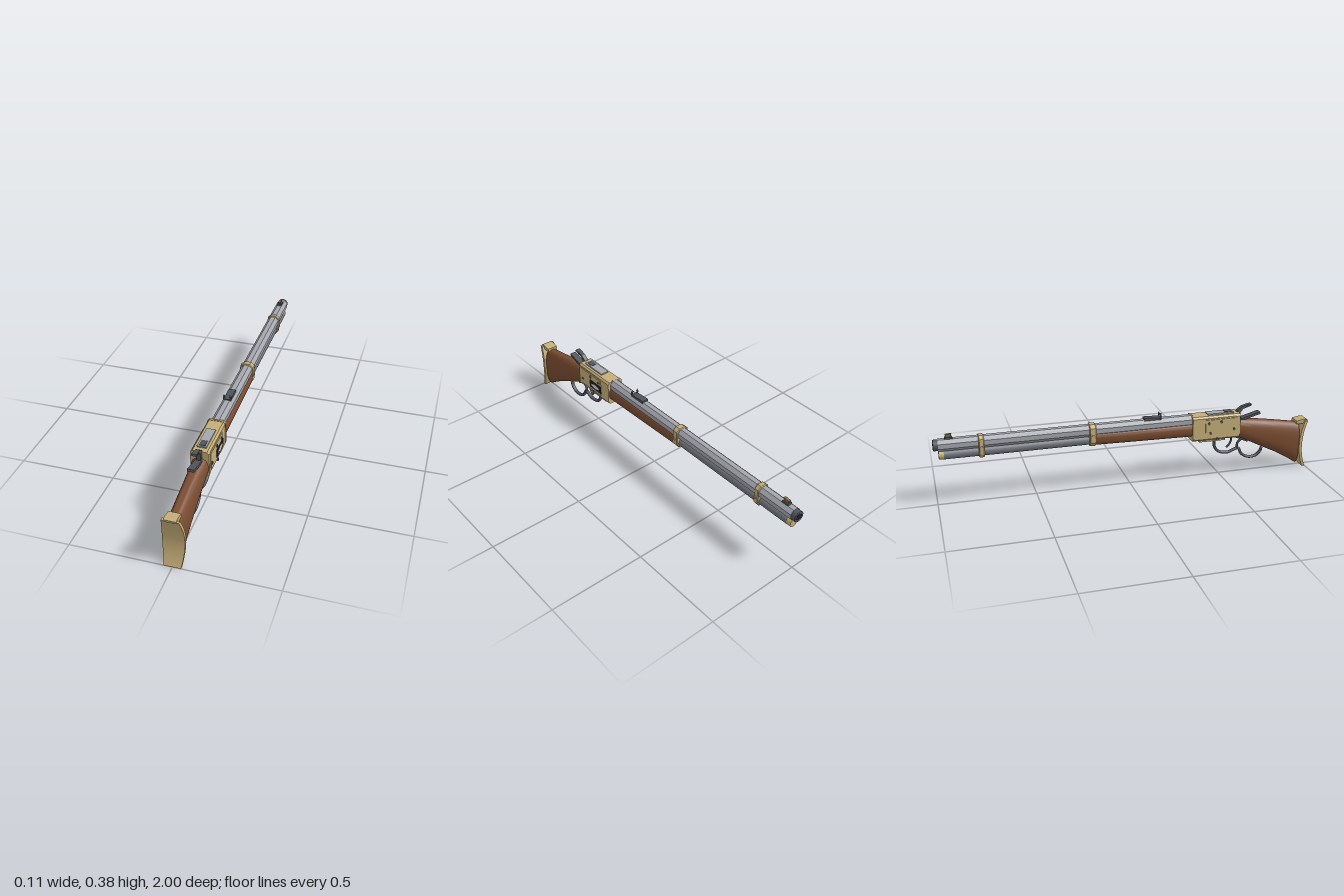
import * as THREE from 'three';
import { toCreasedNormals } from 'three/addons/utils/BufferGeometryUtils.js';

const mat = (name, color) => {
  const m = new THREE.MeshStandardMaterial({ color });
  m.name = name;
  return m;
};

export function createModel() {
  const brass = mat('brass', 0xc6ae78), wood = mat('walnut', 0x7b4d31);
  const steel = mat('barrelSteel', 0xa4a7ae), tubeSteel = mat('tubeSteel', 0x72757d);
  const dark = mat('darkSteel', 0x50545c), black = mat('black', 0x202226);
  const bronze = mat('bronze', 0x84704a), silver = mat('silver', 0xd4d6da);

  const model = new THREE.Group();
  model.name = 'leverRifle';
  const add = (name, geo, material, x = 0, y = 0, z = 0) => {
    const mesh = new THREE.Mesh(geo, material);
    mesh.name = name;
    mesh.position.set(x, y, z);
    model.add(mesh);
    return mesh;
  };
  const box = (name, m, w, h, d, x, y, z) => add(name, new THREE.BoxGeometry(w, h, d), m, x, y, z);
  // Cylinder along z
  const rod = (name, m, r, z0, z1, y, sides = 32, r1 = r) => {
    const g = new THREE.CylinderGeometry(r1, r, z1 - z0, sides);
    if (sides === 8) g.rotateY(Math.PI / 8);
    g.rotateX(Math.PI / 2);
    return add(name, sides === 8 ? toCreasedNormals(g, 0.3) : g, m, 0, y, (z0 + z1) / 2);
  };
  // Cylinder along x
  const pin = (name, m, r, len, x, y, z) =>
    add(name, new THREE.CylinderGeometry(r, r, len, 16).rotateZ(Math.PI / 2), m, x, y, z);
  const shapeOf = (pts) => new THREE.Shape(pts.map(([a, b]) => new THREE.Vector2(a, b)));
  // Symmetric x,y outline (right half, top to bottom) extruded along z
  const slice = (name, m, half, z0, z1, bevel = 0) => {
    const pts = [...half, ...half.map(([x, y]) => [-x, y]).reverse()];
    const g = new THREE.ExtrudeGeometry(shapeOf(pts), {
      depth: z1 - z0 - 2 * bevel, bevelEnabled: bevel > 0, bevelSize: bevel,
      bevelThickness: bevel, bevelOffset: -bevel, bevelSegments: 1,
    });
    return add(name, g, m, 0, 0, z0 + bevel);
  };
  // Side profile of z,y points extruded along x
  const profile = (name, m, pts, width) => {
    const g = new THREE.ExtrudeGeometry(shapeOf(pts), { depth: width, bevelEnabled: false });
    return add(name, g.rotateY(-Math.PI / 2).translate(width / 2, 0, 0), m);
  };
  // Curved rod through z,y points, widened along x
  const bar = (name, m, pts, r, widen = 1.4) => {
    const curve = new THREE.CatmullRomCurve3(pts.map(([z, y]) => new THREE.Vector3(0, y, z)));
    const mesh = add(name, new THREE.TubeGeometry(curve, 64, r, 10), m);
    mesh.scale.x = widen;
    [pts[0], pts[pts.length - 1]].forEach(([z, y]) =>
      add(name + 'End', new THREE.SphereGeometry(r, 10, 8), m, 0, y, z).scale.set(widen, 1, 1));
  };
  // Closed skin over a list of equal loops, capped at both ends
  const loft = (loops, crease) => {
    const n = loops[0].length, pos = loops.flat(2), idx = [];
    const at = (i, j) => i * n + (j % n);
    for (let i = 0; i < loops.length - 1; i++)
      for (let j = 0; j < n; j++)
        idx.push(at(i, j), at(i, j + 1), at(i + 1, j + 1), at(i, j), at(i + 1, j + 1), at(i + 1, j));
    const last = loops.length - 1;
    for (let j = 1; j < n - 1; j++)
      idx.push(0, j + 1, j, at(last, 0), at(last, j), at(last, j + 1));
    const g = new THREE.BufferGeometry();
    g.setAttribute('position', new THREE.Float32BufferAttribute(pos, 3));
    g.setIndex(idx);
    return toCreasedNormals(g, crease);
  };
  // Oval sections given as z, top, bottom, half width
  const ovals = (rows, power) => loft(rows.map(([z, top, bottom, w]) =>
    Array.from({ length: 36 }, (_, k) => {
      const a = (k / 36) * Math.PI * 2, c = Math.cos(a), s = Math.sin(a);
      return [w * Math.sign(c) * Math.abs(c) ** power,
        (top + bottom) / 2 + ((top - bottom) / 2) * Math.sign(s) * Math.abs(s) ** power, z];
    })), 0.8);

  // Stock and fore-end
  add('stock', ovals([
    [0.585, 0.312, 0.214, 0.042], [0.62, 0.307, 0.197, 0.042], [0.68, 0.299, 0.166, 0.041],
    [0.76, 0.287, 0.126, 0.041], [0.84, 0.274, 0.086, 0.042], [0.91, 0.262, 0.044, 0.043],
    [0.955, 0.254, 0.014, 0.043],
  ], 0.85), wood);
  add('foreEnd', ovals([
    [-0.2, 0.315, 0.243, 0.035], [0.1, 0.315, 0.238, 0.038], [0.34, 0.315, 0.234, 0.04],
  ], 0.8), wood);

  // Crescent butt plate with its top tab
  add('buttPlate', loft(Array.from({ length: 21 }, (_, i) => {
    const t = i / 20, y = 0.002 + 0.266 * t, w = 0.041 + 0.012 * Math.sin(Math.PI * t);
    const zo = 0.968 + 0.032 * (2 * t - 1) ** 2, zi = zo - 0.016;
    return [[-w, y, zo], [w, y, zo], [w, y, zi], [-w, y, zi]];
  }), 0.6), brass);
  profile('buttPlateTab', brass,
    [[1, 0.262], [1, 0.272], [0.985, 0.276], [0.937, 0.268], [0.937, 0.25], [0.975, 0.25]], 0.06);

  // Barrel, muzzle and magazine tube
  rod('barrel', steel, 0.0325, -0.975, 0.34, 0.322, 8, 0.0335);
  rod('muzzle', dark, 0.0285, -0.998, -0.965, 0.322);
  add('muzzleRing', new THREE.TorusGeometry(0.022, 0.006, 12, 32), dark, 0, 0.322, -0.994);
  rod('bore', black, 0.016, -0.999, -0.99, 0.322);
  rod('magazineTube', tubeSteel, 0.0245, -0.95, -0.19, 0.27);
  rod('magazineCap', brass, 0.0235, -0.975, -0.945, 0.27);

  // Barrel bands with cross screws
  const band = [[0.016, 0.357], [0.034, 0.341], [0.036, 0.3], [0.034, 0.262], [0.018, 0.241]];
  [[-0.22, -0.185, 1.04], [-0.78, -0.752, 0.96]].forEach(([z0, z1, s]) => {
    slice('barrelBand', brass, band.map(([x, y]) => [x * s, y]), z0, z1, 0.004);
    pin('bandScrew', brass, 0.008, 0.08 * s, 0, 0.298, (z0 + z1) / 2);
  });

  // Receiver, side plates and lower link housing
  slice('receiver', brass, [[0.035, 0.348], [0.044, 0.338], [0.044, 0.222], [0.036, 0.214]], 0.335, 0.598);
  slice('receiverFrontRim', brass, [[0.036, 0.35], [0.046, 0.339], [0.046, 0.226], [0.037, 0.215]], 0.332, 0.346);
  slice('receiverRearRim', brass, [[0.036, 0.345], [0.046, 0.336], [0.046, 0.222], [0.036, 0.213]], 0.578, 0.598);
  box('linkHousing', brass, 0.064, 0.03, 0.145, 0, 0.218, 0.448);
  pin('linkPin', dark, 0.008, 0.1, 0, 0.219, 0.47);
  for (const side of [1, -1]) {
    box('sidePlate', brass, 0.006, 0.095, 0.175, side * 0.046, 0.283, 0.49);
    [[0.563, 0.268], [0.49, 0.314], [0.42, 0.31]].forEach(([z, y]) =>
      pin('plateScrew', dark, 0.0075, 0.006, side * 0.0495, y, z));
  }
  pin('plateScrew', dark, 0.0075, 0.006, -0.0495, 0.255, 0.43);

  // Loading gate on the left side
  box('gateRecess', black, 0.004, 0.045, 0.1, 0.049, 0.272, 0.447);
  [[0.447, 0.012, 2], [0.425, 0.008, 1.6], [0.469, 0.008, 1.6]].forEach(([z, r, stretch]) => {
    pin('loadingGate', silver, r, 0.003, 0.0507, 0.271, z).scale.z = stretch;
  });

  // Bolt cover, hammer and rear tang
  box('bolt', steel, 0.046, 0.014, 0.145, 0, 0.348, 0.495);
  box('boltInset', dark, 0.03, 0.006, 0.04, 0, 0.354, 0.54);
  profile('hammer', dark, [[0.57, 0.30], [0.615, 0.30], [0.612, 0.345], [0.628, 0.362], [0.652, 0.369],
    [0.674, 0.376], [0.67, 0.386], [0.645, 0.382], [0.618, 0.374], [0.597, 0.358], [0.585, 0.34]], 0.022);
  box('hammerSpur', dark, 0.028, 0.007, 0.03, 0, 0.379, 0.658).rotation.x = -0.25;
  profile('tangSight', dark, [[0.6, 0.292], [0.725, 0.326], [0.722, 0.338], [0.6, 0.305]], 0.034);

  // Finger lever, trigger and lower tang
  bar('lever', dark, [[0.475, 0.215], [0.472, 0.165], [0.495, 0.13], [0.55, 0.117], [0.592, 0.132],
    [0.612, 0.135], [0.632, 0.1], [0.67, 0.078], [0.715, 0.08], [0.745, 0.108], [0.748, 0.122]], 0.0075);
  bar('leverLink', dark, [[0.604, 0.138], [0.607, 0.165], [0.63, 0.186], [0.66, 0.183]], 0.006);
  bar('trigger', dark, [[0.565, 0.215], [0.568, 0.185], [0.56, 0.165], [0.545, 0.148]], 0.005);
  profile('lowerTang', dark, [[0.58, 0.205], [0.66, 0.17], [0.665, 0.182], [0.58, 0.222]], 0.024);

  // Rear sight with open horns
  profile('rearSightBase', dark, [[0.075, 0.348], [0.165, 0.348], [0.165, 0.358], [0.09, 0.364], [0.075, 0.362]], 0.036);
  add('rearSightHorns', new THREE.TorusGeometry(0.0185, 0.005, 8, 28, Math.PI * 1.6), dark, 0, 0.366, 0.162)
    .rotation.z = Math.PI * 0.7;

  // Front sight
  profile('frontSightBase', dark, [[-0.942, 0.347], [-0.9, 0.347], [-0.904, 0.361], [-0.938, 0.361]], 0.026);
  profile('frontSightBlade', bronze, [[-0.932, 0.358], [-0.912, 0.358], [-0.905, 0.377], [-0.938, 0.374]], 0.014);

  return model;
}
